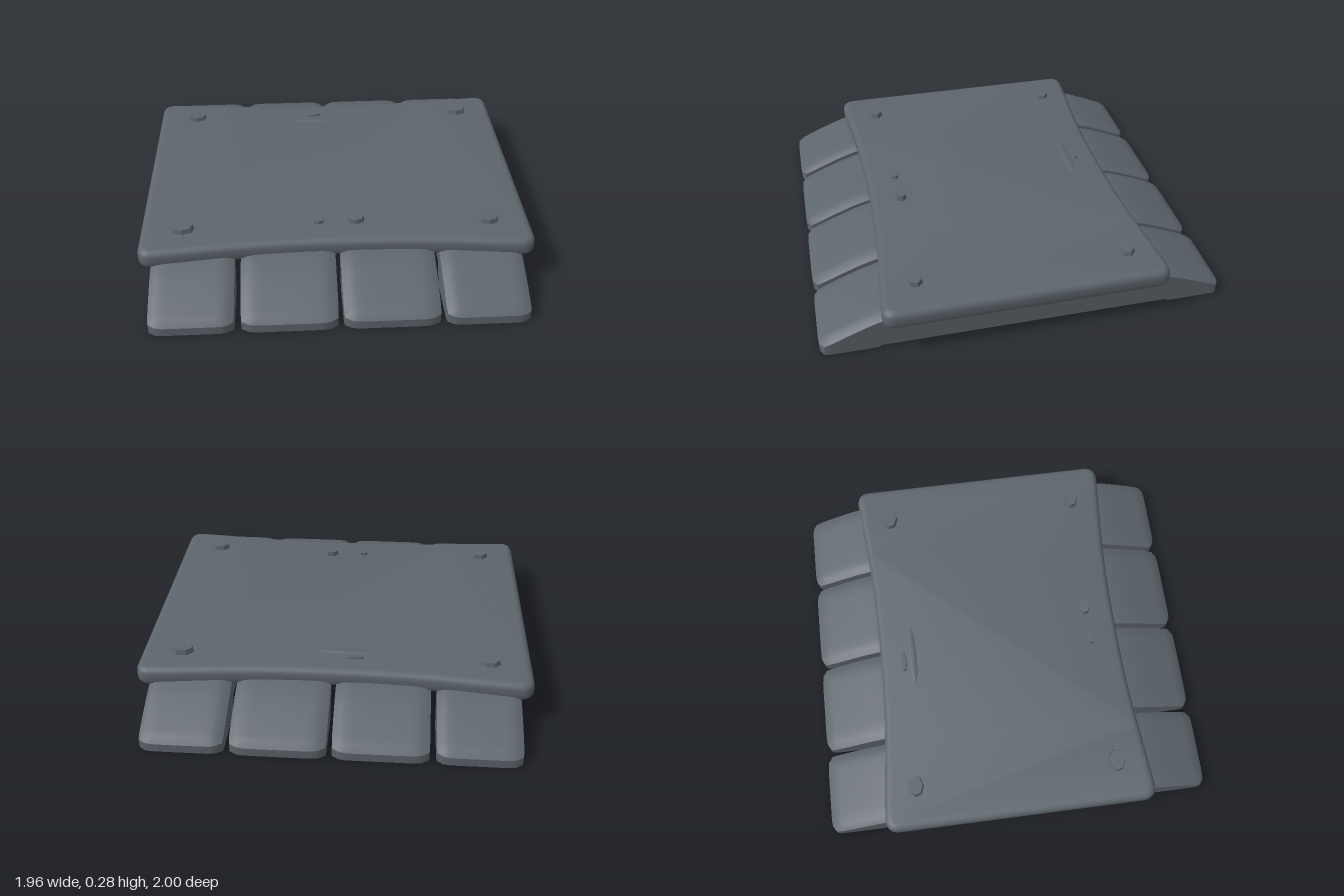
import * as THREE from 'three';
import { toCreasedNormals } from 'three/addons/utils/BufferGeometryUtils.js';

const slate = new THREE.MeshStandardMaterial({ color: 0x5d656c });
slate.name = 'slate grey';
const wood = new THREE.MeshStandardMaterial({ color: 0x6b5a49 });
wood.name = 'brown underside';
// Box face order: +x, -x, +y, -y, +z, -z
const brownBelow = [slate, slate, slate, wood, slate, slate];

// Height of the sloping plank top at distance z from the middle
const slope = [[0.58, 0.2], [0.66, 0.192], [0.75, 0.165], [0.85, 0.125], [0.95, 0.082], [0.985, 0.066], [1, 0.045]];
function topHeight(z) {
  for (let i = 1; i < slope.length; i++) {
    const [z0, y0] = slope[i - 1], [z1, y1] = slope[i];
    if (z <= z1) return y0 + (y1 - y0) * (z - z0) / (z1 - z0);
  }
  return slope[slope.length - 1][1];
}

// Sloped plank end: flat below, rounded over at the sides and the tip
function plankEndGeometry(width) {
  const geo = new THREE.BoxGeometry(2, 1, 1, 14, 2, 14);
  const p = geo.attributes.position;
  for (let i = 0; i < p.count; i++) {
    const u = p.getX(i), t = p.getY(i) + 0.5, w = p.getZ(i) + 0.5;
    const inner = 0.72 - 0.13 * t;
    const edge = Math.abs(u) ** 10;
    const z = inner + (1 - inner) * w - 0.025 * edge * w ** 8;
    const x = u * width / 2 * (1 - 0.02 * w ** 10);
    p.setXYZ(i, x, t * (topHeight(z) - 0.02 * edge), z);
  }
  return toCreasedNormals(geo, 0.7);
}

// Slab outline: wide corners, front and back edges bowed inward
function slabGeometry() {
  const bevel = 0.035, hx = 0.982 - bevel, zc = 0.7 - bevel, zm = 0.65 - bevel, r = 0.03;
  const s = new THREE.Shape();
  s.moveTo(-hx, -zc + r);
  s.quadraticCurveTo(-hx, -zc, -hx + r, -zc);
  s.bezierCurveTo(-0.6, -zc + 0.02, -0.5, -zm, 0, -zm);
  s.bezierCurveTo(0.5, -zm, 0.6, -zc + 0.02, hx - r, -zc);
  s.quadraticCurveTo(hx, -zc, hx, -zc + r);
  s.lineTo(hx, zc - r);
  s.quadraticCurveTo(hx, zc, hx - r, zc);
  s.bezierCurveTo(0.6, zc - 0.02, 0.5, zm, 0, zm);
  s.bezierCurveTo(-0.5, zm, -0.6, zc - 0.02, -hx + r, zc);
  s.quadraticCurveTo(-hx, zc, -hx, zc - r);
  s.closePath();
  const geo = new THREE.ExtrudeGeometry(s, {
    depth: 0.03, bevelEnabled: true, bevelThickness: 0.035, bevelSize: bevel, bevelSegments: 4, curveSegments: 14,
  });
  geo.rotateX(-Math.PI / 2);
  geo.translate(0, 0.187, 0);
  return toCreasedNormals(geo, 0.7);
}

export function createModel() {
  const model = new THREE.Group();
  model.name = 'plankPlatform';
  const add = (name, geo, mat, x = 0, y = 0, z = 0) => {
    const mesh = new THREE.Mesh(geo, mat);
    mesh.name = name;
    mesh.position.set(x, y, z);
    model.add(mesh);
    return mesh;
  };

  add('topSlab', slabGeometry(), slate);

  // Four planks reach out at the front and the back
  for (const [x0, x1] of [[-0.92, -0.51], [-0.48, -0.012], [0.012, 0.48], [0.505, 0.915]]) {
    const geo = plankEndGeometry(x1 - x0);
    add('frontPlankEnd', geo, brownBelow, (x0 + x1) / 2);
    add('backPlankEnd', geo, brownBelow, (x0 + x1) / 2).rotation.y = Math.PI;
  }

  // Rails with long slots between them join the plank ends below the slab
  const rails = [[0.03, 0.22, 0.16], [0.28, 0.465, 0.16], [0.53, 0.69, 0.16], [0.75, 0.905, 0.1]];
  for (const side of [-1, 1]) {
    for (const [x0, x1, h] of rails) {
      add('underRail', new THREE.BoxGeometry(x1 - x0, h, 1.45), brownBelow, side * (x0 + x1) / 2, h / 2, 0);
    }
  }

  // Rough faceted studs on the slab: x, z, radius, height
  const studs = [
    [-0.77, -0.525, 0.062, 0.022], [0.775, -0.525, 0.066, 0.026], [-0.77, 0.52, 0.066, 0.024],
    [0.77, 0.52, 0.06, 0.026], [-0.09, 0.495, 0.032, 0.016], [0.1, 0.49, 0.05, 0.024],
  ];
  studs.forEach(([x, z, r, h], i) => {
    const geo = toCreasedNormals(new THREE.CylinderGeometry(r * 0.8, r, h + 0.02, 7), 0.3);
    const stud = add('stud', geo, slate, x, 0.242 + h / 2, z);
    stud.scale.z = 0.72;
    stud.rotation.set(0, 0, 0.04 * (i % 3 - 1));
  });

  // Low raised crease and flat stud near the back edge
  const crease = add('topCrease', new THREE.SphereGeometry(1, 16, 8), slate, -0.06, 0.25, -0.475);
  crease.scale.set(0.17, 0.008, 0.022);
  const flatStud = add('flatStud', new THREE.CylinderGeometry(0.05, 0.065, 0.02, 6), slate, -0.09, 0.253, -0.525);
  flatStud.scale.z = 0.3;

  return model;
}
